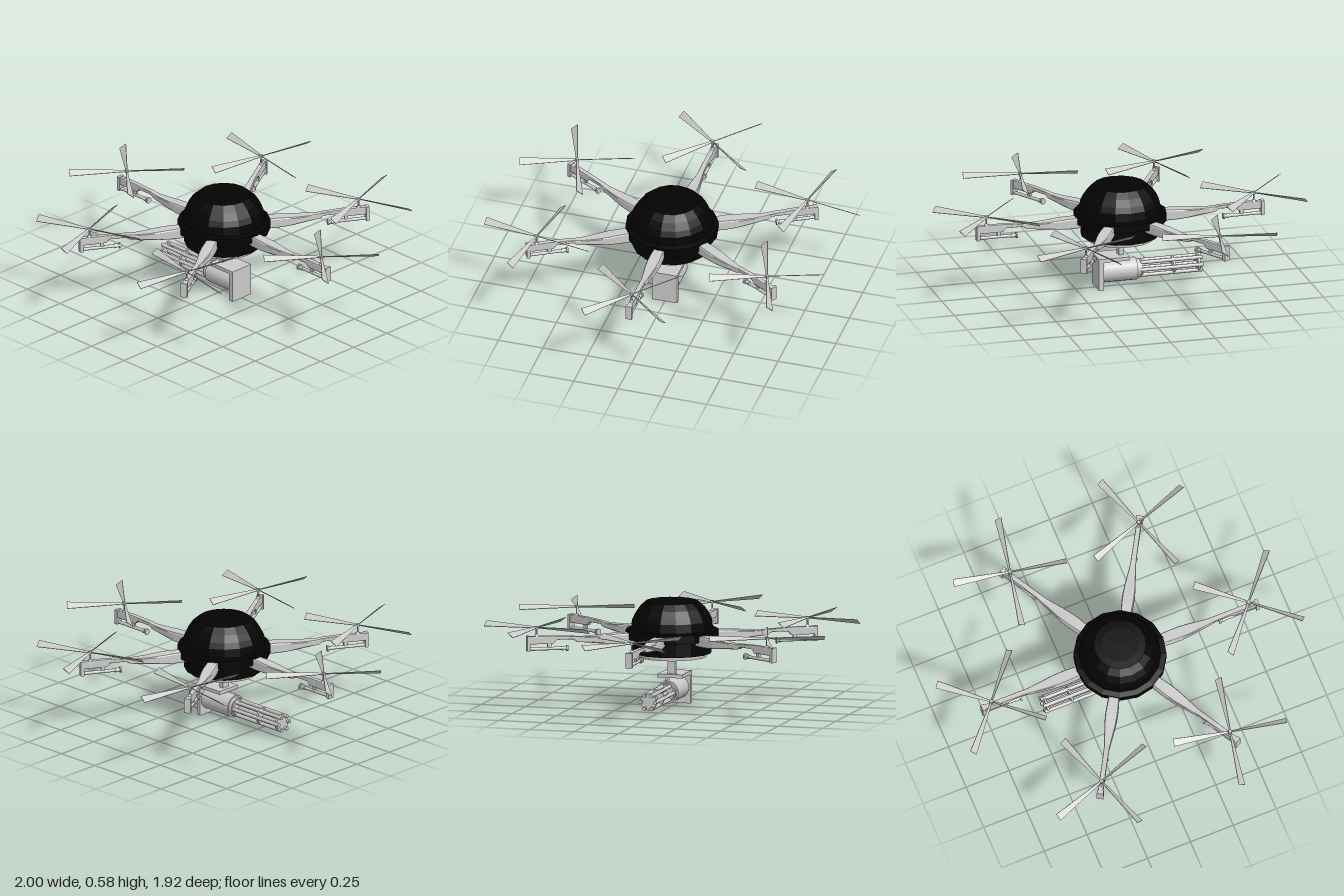
import * as THREE from 'three';

const grey = new THREE.MeshStandardMaterial({ color: 0xcccccc, flatShading: true });
const smooth = new THREE.MeshStandardMaterial({ color: 0xcccccc });
const black = new THREE.MeshStandardMaterial({ color: 0x030303, flatShading: true });

function add(parent, name, geometry, material = grey, x = 0, y = 0, z = 0) {
  const mesh = new THREE.Mesh(geometry, material);
  mesh.name = name;
  mesh.position.set(x, y, z);
  parent.add(mesh);
  return mesh;
}

const box = (x0, x1, y0, y1, w) =>
  new THREE.BoxGeometry(x1 - x0, y1 - y0, w).translate((x0 + x1) / 2, (y0 + y1) / 2, 0);

// Cylinder lying along x from x0 to x1
const rod = (x0, x1, r, sides = 12) =>
  new THREE.CylinderGeometry(r, r, x1 - x0, sides).rotateZ(-Math.PI / 2).translate((x0 + x1) / 2, 0, 0);

// Skin over closed rings that advance along x, with both ends capped
function loft(rings) {
  const n = rings[0].length, pos = [], idx = [];
  rings.forEach((ring) => ring.forEach((p) => pos.push(...p)));
  for (let i = 0; i < rings.length - 1; i++) {
    for (let k = 0; k < n; k++) {
      const a = i * n + k, b = i * n + (k + 1) % n, c = b + n, d = a + n;
      idx.push(a, d, c, a, c, b);
    }
  }
  const last = (rings.length - 1) * n;
  for (let k = 1; k < n - 1; k++) {
    idx.push(0, k, k + 1, last, last + k + 1, last + k);
  }
  const g = new THREE.BufferGeometry();
  g.setAttribute('position', new THREE.Float32BufferAttribute(pos, 3));
  g.setIndex(idx);
  const flat = g.toNonIndexed();
  flat.computeVertexNormals();
  return flat;
}

// Arm: lightly chamfered sections given as [distance, half width, bottom, top]
function armGeometry() {
  const stations = [
    [0.19, 0.022, 0.355, 0.41], [0.25, 0.03, 0.352, 0.41], [0.3, 0.033, 0.353, 0.409],
    [0.35, 0.034, 0.356, 0.406], [0.4, 0.031, 0.36, 0.402], [0.45, 0.025, 0.365, 0.399],
    [0.51, 0.018, 0.37, 0.398], [0.53, 0.016, 0.372, 0.4], [0.55, 0.015, 0.386, 0.403],
    [0.64, 0.014, 0.386, 0.407], [0.66, 0.014, 0.366, 0.408], [0.8, 0.014, 0.366, 0.408],
  ];
  return loft(stations.map(([x, w, b, t]) => {
    const c = w * 0.12, h = (t - b) * 0.12;
    return [
      [x, b + h, w], [x, t - h, w], [x, t, w - c], [x, t, c - w],
      [x, t - h, -w], [x, b + h, -w], [x, b, c - w], [x, b, w - c],
    ];
  }));
}

// Blade: thin tapering strip with a fixed pitch
function bladeGeometry() {
  const pitch = -0.65, s = Math.sin(pitch), c = Math.cos(pitch);
  const ring = (x, w, t) => [[w, -t], [w, t], [-w, t], [-w, -t]]
    .map(([u, v]) => [x, v * c - u * s, u * c + v * s]);
  return loft([ring(0.005, 0.005, 0.002), ring(0.311, 0.022, 0.0015)]);
}

function makeArm(armGeo, bladeGeo) {
  const arm = new THREE.Group();
  add(arm, 'armBeam', armGeo);
  add(arm, 'armEndPlate', box(0.788, 0.806, 0.328, 0.41, 0.036));
  // Small tube slung under the arm tip
  add(arm, 'underTube', rod(0.585, 0.79, 0.009), smooth, 0, 0.338);
  add(arm, 'underTubeCollar', rod(0.595, 0.612, 0.012), smooth, 0, 0.338);
  add(arm, 'underTubeCap', rod(0.576, 0.585, 0.017), smooth, 0, 0.338);
  add(arm, 'tubeHanger', box(0.67, 0.69, 0.338, 0.37, 0.012));
  // Rotor
  add(arm, 'rotorMastFoot', new THREE.CylinderGeometry(0.007, 0.013, 0.012, 10), smooth, 0.75, 0.412);
  add(arm, 'rotorMast', new THREE.CylinderGeometry(0.005, 0.005, 0.06, 8), smooth, 0.75, 0.43);
  const rotor = new THREE.Group();
  rotor.name = 'rotor';
  rotor.position.set(0.75, 0.456, 0);
  rotor.rotation.y = THREE.MathUtils.degToRad(49.5);
  add(rotor, 'rotorHub', new THREE.CylinderGeometry(0.01, 0.012, 0.014, 10), smooth);
  for (let i = 0; i < 4; i++) {
    add(rotor, 'rotorBlade', bladeGeo).rotation.y = i * Math.PI / 2;
  }
  arm.add(rotor);
  return arm;
}

function makeGun() {
  const gun = new THREE.Group();
  gun.name = 'rotaryGun';
  gun.position.y = 0.088;
  add(gun, 'gunHousing', rod(-0.085, 0.112, 0.062, 20), smooth);
  add(gun, 'gunShoulder', rod(-0.106, -0.085, 0.053, 20), smooth);
  add(gun, 'gunNeck', rod(-0.118, -0.106, 0.046, 20), smooth);
  add(gun, 'barrelSpindle', rod(-0.43, -0.11, 0.01, 10), smooth);
  for (const x of [-0.44, -0.3]) {
    add(gun, 'barrelClamp', rod(x, x + 0.012, 0.046, 18), smooth);
  }
  for (let i = 0; i < 6; i++) {
    const a = i * Math.PI / 3;
    add(gun, 'barrel', rod(-0.455, -0.11, 0.0105, 10), smooth, 0, 0.041 * Math.sin(a), 0.041 * Math.cos(a));
  }
  return gun;
}

export function createModel() {
  const model = new THREE.Group();
  model.name = 'armedHexacopter';

  // Domed body with a flange
  const profile = [
    [0, 0.295], [0.215, 0.295], [0.215, 0.37], [0.252, 0.375], [0.252, 0.42], [0.222, 0.427],
    [0.217, 0.475], [0.203, 0.505], [0.178, 0.542], [0.142, 0.574], [0.1, 0.577], [0, 0.578],
  ].map(([r, y]) => new THREE.Vector2(r, y));
  add(model, 'body', new THREE.LatheGeometry(profile, 16), black);
  add(model, 'bellyPlate', new THREE.CylinderGeometry(0.19, 0.187, 0.025, 32), grey, 0, 0.286);

  // Six identical arms around the body
  const armGeo = armGeometry(), bladeGeo = bladeGeometry();
  for (let i = 0; i < 6; i++) {
    const arm = makeArm(armGeo, bladeGeo);
    arm.name = 'arm' + (i + 1);
    arm.rotation.y = i * Math.PI / 3;
    model.add(arm);
  }

  // Gun mount
  add(model, 'mountPost', box(-0.013, 0.013, 0.17, 0.28, 0.044));
  add(model, 'mountTopPlate', box(-0.035, 0.137, 0.158, 0.178, 0.14));
  add(model, 'mountBackPlate', box(0.111, 0.137, 0, 0.178, 0.14));
  model.add(makeGun());
  return model;
}
